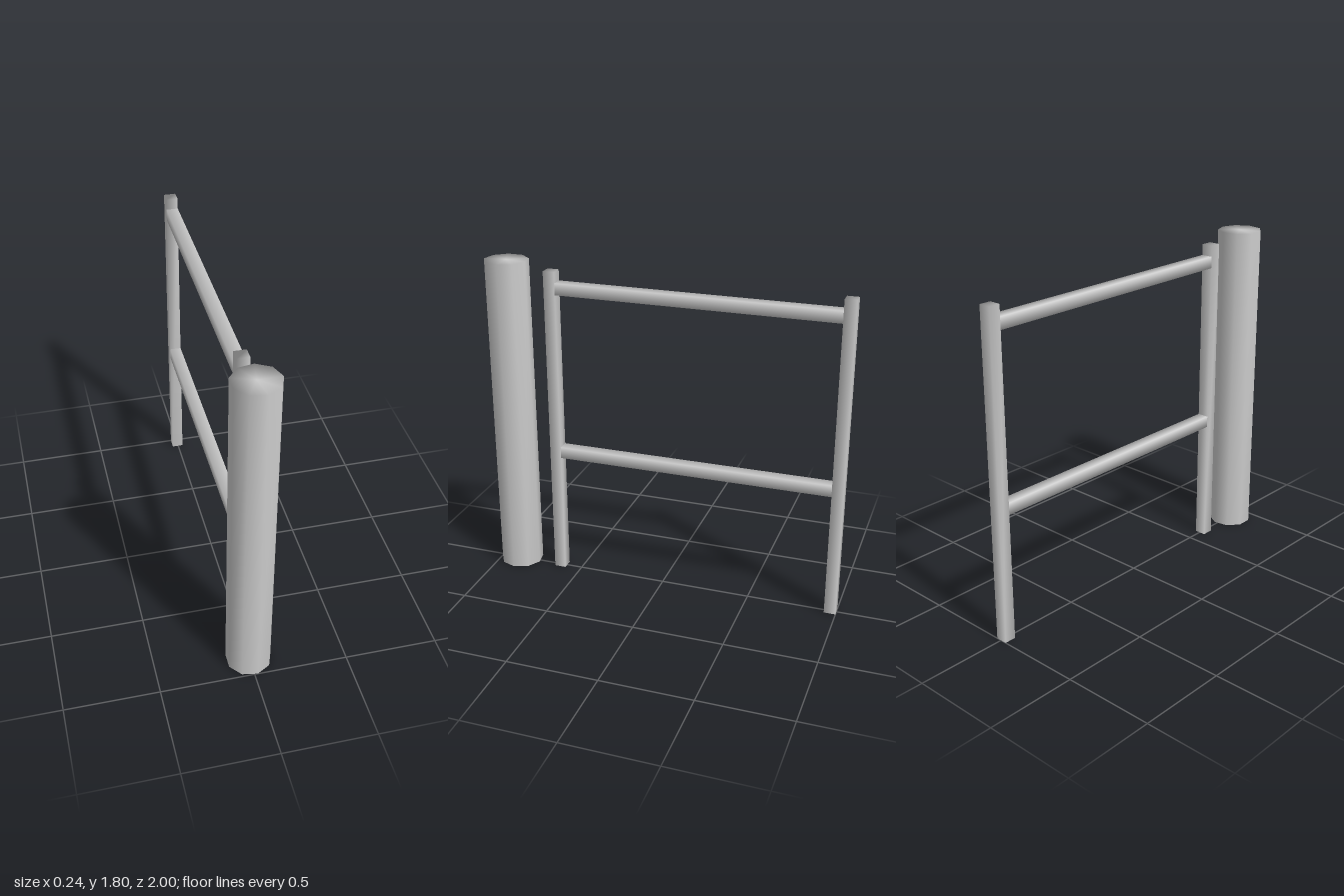
import * as THREE from 'three';
import { mergeVertices } from 'three/addons/utils/BufferGeometryUtils.js';

const material = new THREE.MeshStandardMaterial({ color: 0xcccccc });
const CENTRE_X = -0.0035;
const BAR = 0.064; // square section of posts and rails

// Weld all corners so shading flows softly round the edges
function smooth(geometry) {
  geometry.deleteAttribute('normal');
  geometry.deleteAttribute('uv');
  const welded = mergeVertices(geometry, 1e-4);
  welded.computeVertexNormals();
  return welded;
}

function addPart(group, name, geometry, y, z) {
  const mesh = new THREE.Mesh(smooth(geometry), material);
  mesh.name = name;
  mesh.position.set(CENTRE_X, y, z);
  group.add(mesh);
}

export function createModel() {
  const group = new THREE.Group();
  group.name = 'fenceSection';

  // Thick nine-sided main post, one corner towards +x
  const mainHeight = 1.805;
  addPart(group, 'mainPost',
    new THREE.CylinderGeometry(0.1215, 0.1215, mainHeight, 9, 1, false, Math.PI / 2),
    mainHeight / 2, 0.88);

  // Slim square posts
  const postHeight = 1.767;
  const frontZ = 0.623, backZ = -0.968;
  for (const [name, z] of [['frontPost', frontZ], ['backPost', backZ]]) {
    addPart(group, name, new THREE.BoxGeometry(BAR, postHeight, BAR), postHeight / 2, z);
  }

  // Rails spanning the gap between the slim posts
  const railLength = frontZ - backZ - BAR;
  for (const [name, y] of [['lowerRail', 0.733], ['upperRail', 1.675]]) {
    addPart(group, name, new THREE.BoxGeometry(BAR, BAR, railLength), y, (frontZ + backZ) / 2);
  }
  return group;
}
